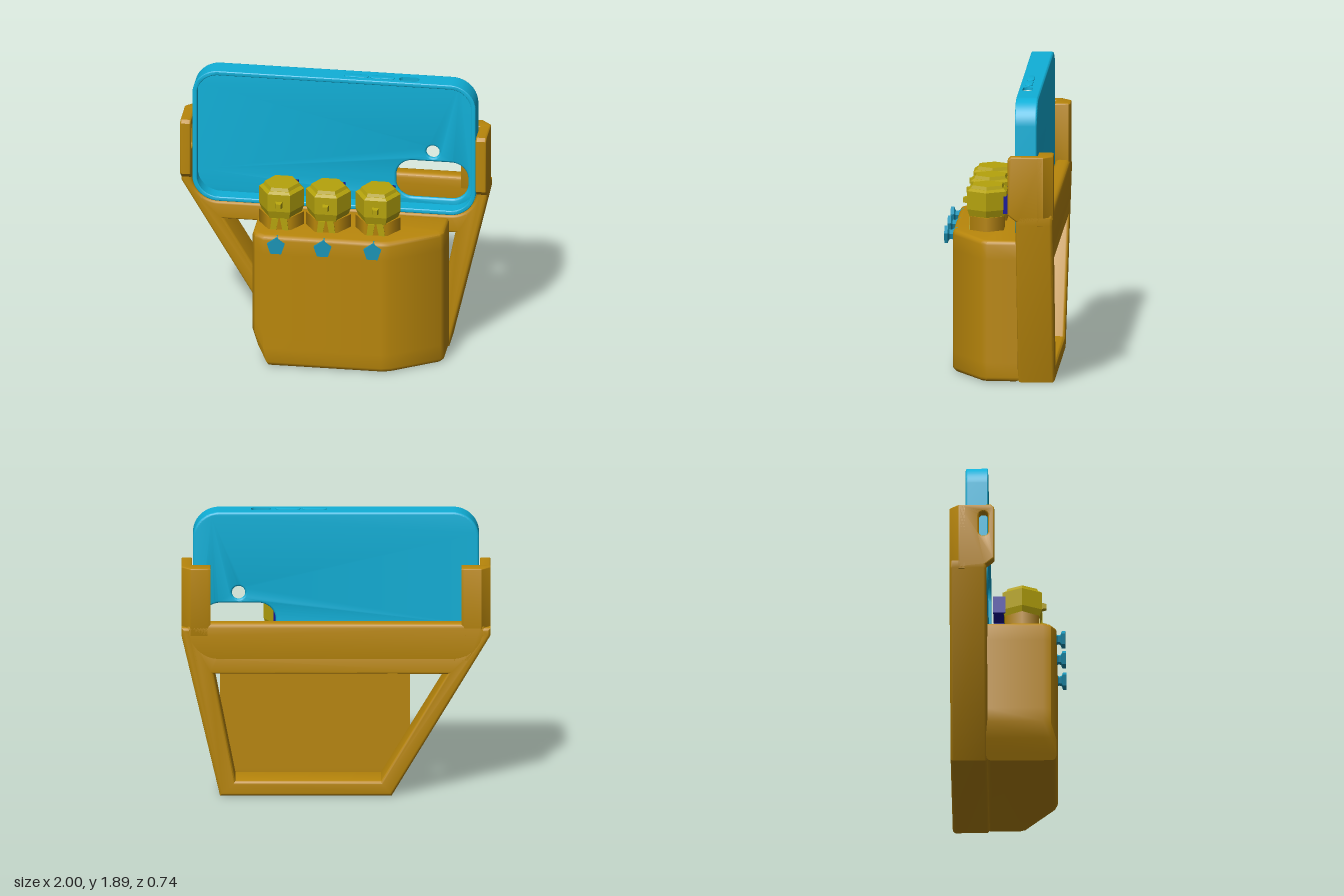
import * as THREE from 'three';
import { toCreasedNormals } from 'three/addons/utils/BufferGeometryUtils.js';

const paint = (color, flatShading = false) => new THREE.MeshStandardMaterial({ color, flatShading });
const gold = paint(0xb8860b);
const cyan = paint(0x10b0d8);
const olive = paint(0xb5a30c, true);
const navy = paint(0x10109a);
const teal = paint(0x1a93b5, true);

const poly = (pts) => new THREE.Shape(pts.map(([x, y]) => new THREE.Vector2(x, y)));

// Rounded rectangle outline
function roundRect(x0, y0, x1, y1, r, Type = THREE.Shape) {
  const s = new Type();
  s.absarc(x1 - r, y1 - r, r, 0, Math.PI / 2);
  s.absarc(x0 + r, y1 - r, r, Math.PI / 2, Math.PI);
  s.absarc(x0 + r, y0 + r, r, Math.PI, Math.PI * 1.5);
  s.absarc(x1 - r, y0 + r, r, Math.PI * 1.5, Math.PI * 2);
  s.closePath();
  return s;
}

// Bevelled extrusion that keeps its outline, running from 0 to depth
function extrude(shape, depth, bevel = 0, steps = 1) {
  const g = new THREE.ExtrudeGeometry(shape, {
    depth: depth - 2 * bevel, steps, curveSegments: 14, bevelEnabled: bevel > 0,
    bevelSize: bevel, bevelThickness: bevel, bevelOffset: -bevel, bevelSegments: 3,
  });
  return g.translate(0, 0, bevel);
}

const smooth = (g) => {
  g.deleteAttribute('normal');
  return toCreasedNormals(g, 0.6);
};

export function createModel() {
  const model = new THREE.Group();
  const add = (name, geo, mat, x = 0, y = 0, z = 0, parent = model) => {
    const m = new THREE.Mesh(geo, mat);
    m.name = name;
    m.position.set(x, y, z);
    parent.add(m);
    return m;
  };

  // Container: plan extruded upward, its lower left cut along the strut line
  const plan = poly([[-0.48, 0.14], [-0.48, -0.23], [-0.46, -0.28], [-0.4, -0.315],
    [0.37, -0.315], [0.43, -0.3], [0.73, -0.11], [0.75, -0.07], [0.75, 0.14]]);
  const box = extrude(plan, 0.93, 0.03, 9).rotateX(-Math.PI / 2);
  const p = box.attributes.position;
  for (let i = 0; i < p.count; i++) p.setX(i, Math.max(p.getX(i), -0.36 - 0.593 * p.getY(i)));
  add('container', smooth(box), gold);

  // Frame: tapered ring whose top edge cradles the case corners
  const frame = new THREE.Shape();
  frame.moveTo(-0.36, 0);
  frame.lineTo(0.75, 0);
  frame.lineTo(1, 1.08);
  frame.lineTo(1, 1.13);
  frame.lineTo(0.93, 1.13);
  frame.absarc(0.755, 1.12, 0.175, 0, -Math.PI / 2, true);
  frame.absarc(-0.755, 1.12, 0.175, -Math.PI / 2, -Math.PI, true);
  frame.lineTo(-0.93, 1.13);
  frame.lineTo(-1, 1.13);
  frame.lineTo(-1, 1.08);
  frame.holes.push(new THREE.Path([[-0.72, 0.82], [-0.29, 0.1], [0.65, 0.1], [0.79, 0.82]]
    .map(([x, y]) => new THREE.Vector2(x, y))));
  add('frame', smooth(extrude(frame, 0.24, 0.02)), gold, 0, 0, -0.37);

  // Rear rail behind the case
  const rail = poly([[-0.88, 0.88], [0.94, 0.88], [0.99, 1.08], [0.95, 1.16], [-0.95, 1.16], [-0.99, 1.08]]);
  add('rearRail', smooth(extrude(rail, 0.1, 0.03)), gold, 0, 0, -0.37);

  // Side clamps: rear post plus forward arm, the left-hand picture side slotted
  for (const s of [-1, 1]) {
    const pts = [[0.81, 0.27], [0.81, 0.36], [0.83, 0.37], [0.94, 0.37], [1, 0.31], [1, 0.27]];
    const post = poly(pts.map(([x, z]) => [s * x, z]));
    add('clampPost', smooth(extrude(post, 0.46, 0.008).rotateX(-Math.PI / 2)), gold, 0, 1.07, 0);
    const arm = poly([[0.08, 1.15], [0.1, 1.13], [0.14, 1.1], [0.31, 1.08], [0.31, 1.53], [0.1, 1.53], [0.08, 1.51]]);
    if (s < 0) arm.holes.push(roundRect(0.12, 1.31, 0.18, 1.48, 0.028, THREE.Path));
    add('clampArm', smooth(extrude(arm, 0.07, 0.01).rotateY(Math.PI / 2)), gold, s > 0 ? 0.93 : -1, 0, 0);
  }

  // Phone case back with the round hole and the camera window
  const back = roundRect(-0.925, 0.95, 0.925, 1.88, 0.17);
  back.holes.push(roundRect(0.39, 1.01, 0.86, 1.27, 0.11, THREE.Path));
  back.holes.push(new THREE.Path().absarc(0.63, 1.34, 0.043, 0, Math.PI * 2));
  add('caseBack', smooth(extrude(back, 0.03, 0.014)), cyan, 0, 0, -0.266);

  // Case rim, open along the straight top edge
  const rim = new THREE.Shape();
  rim.moveTo(-0.755, 1.88);
  rim.absarc(-0.755, 1.71, 0.17, Math.PI / 2, Math.PI);
  rim.absarc(-0.755, 1.12, 0.17, Math.PI, Math.PI * 1.5);
  rim.absarc(0.755, 1.12, 0.17, -Math.PI / 2, 0);
  rim.absarc(0.755, 1.71, 0.17, 0, Math.PI / 2);
  rim.absarc(0.755, 1.71, 0.15, Math.PI / 2, 0, true);
  rim.absarc(0.755, 1.12, 0.15, 0, -Math.PI / 2, true);
  rim.absarc(-0.755, 1.12, 0.15, Math.PI * 1.5, Math.PI, true);
  rim.absarc(-0.755, 1.71, 0.15, Math.PI, Math.PI / 2, true);
  add('caseRim', smooth(extrude(rim, 0.125)), cyan, 0, 0, -0.252);

  // Top wall with a switch opening and two raised buttons
  const wall = poly([[-0.756, 0.127], [0.756, 0.127], [0.756, 0.252], [-0.756, 0.252]]);
  wall.holes.push(roundRect(0.42, 0.145, 0.55, 0.21, 0.03, THREE.Path));
  add('caseTopWall', smooth(extrude(wall, 0.02).rotateX(-Math.PI / 2)), cyan, 0, 1.86, 0);
  for (const x of [0.06, 0.23]) {
    const button = roundRect(x, 0.155, x + 0.16, 0.2, 0.022);
    add('caseButton', smooth(extrude(button, 0.012, 0.003).rotateX(-Math.PI / 2)), cyan, 0, 1.874, 0);
  }

  // Thin inward lip at the front of the case
  const lip = roundRect(-0.925, 0.95, 0.925, 1.88, 0.17);
  lip.holes.push(roundRect(-0.895, 0.98, 0.895, 1.85, 0.14, THREE.Path));
  add('caseLip', smooth(extrude(lip, 0.016, 0.006)), cyan, 0, 0, -0.138);

  // Three hexagonal valves, each with a rear block and a front stud
  const hex = (rTop, rBottom, h) => new THREE.CylinderGeometry(rTop, rBottom, h, 6).rotateY(Math.PI / 6);
  for (const x of [-0.31, -0.005, 0.32]) {
    const valve = new THREE.Group();
    valve.name = 'valve';
    valve.position.set(x, 0, 0.093);
    model.add(valve);
    add('valveFoot', hex(0.147, 0.147, 0.1).scale(1, 1, 0.86), gold, 0, 0.97, 0, valve);
    add('valveTaper', hex(0.147, 0.125, 0.06), olive, 0, 1.035, 0, valve);
    add('valveHead', hex(0.147, 0.147, 0.12), olive, 0, 1.125, 0, valve);
    add('valveCapBase', hex(0.125, 0.147, 0.015), olive, 0, 1.192, 0, valve);
    add('valveCap', hex(0.11, 0.122, 0.025), olive, 0, 1.208, 0, valve);
    for (const s of [-1, 1]) {
      const leg = poly([[s * 0.005, 0.08], [s * 0.05, 0.08], [s * 0.06, 0], [s * 0.02, 0]]);
      add('valveLeg', extrude(leg, 0.04), olive, 0, 0.93, 0.075, valve);
    }
    add('nozzle', new THREE.CylinderGeometry(0.022, 0.034, 0.04, 4).rotateY(Math.PI / 4).rotateX(Math.PI / 2),
      olive, 0, 1.115, 0.137, valve);
    add('rearBlock', new THREE.BoxGeometry(0.17, 0.115, 0.08), navy, 0, 1.097, -0.147, valve);

    // Pentagonal stud on a flared neck
    const stud = new THREE.LatheGeometry([[0, -0.03], [0.05, -0.03], [0.032, 0.005], [0.035, 0.02], [0.06, 0.03],
      [0.06, 0.052], [0, 0.052]].map(([r, h]) => new THREE.Vector2(r, h)), 5);
    stud.rotateY(Math.PI).rotateX(Math.PI / 2);
    add('stud', stud, teal, 0, 0.883, 0.226, valve);
  }
  return model;
}
